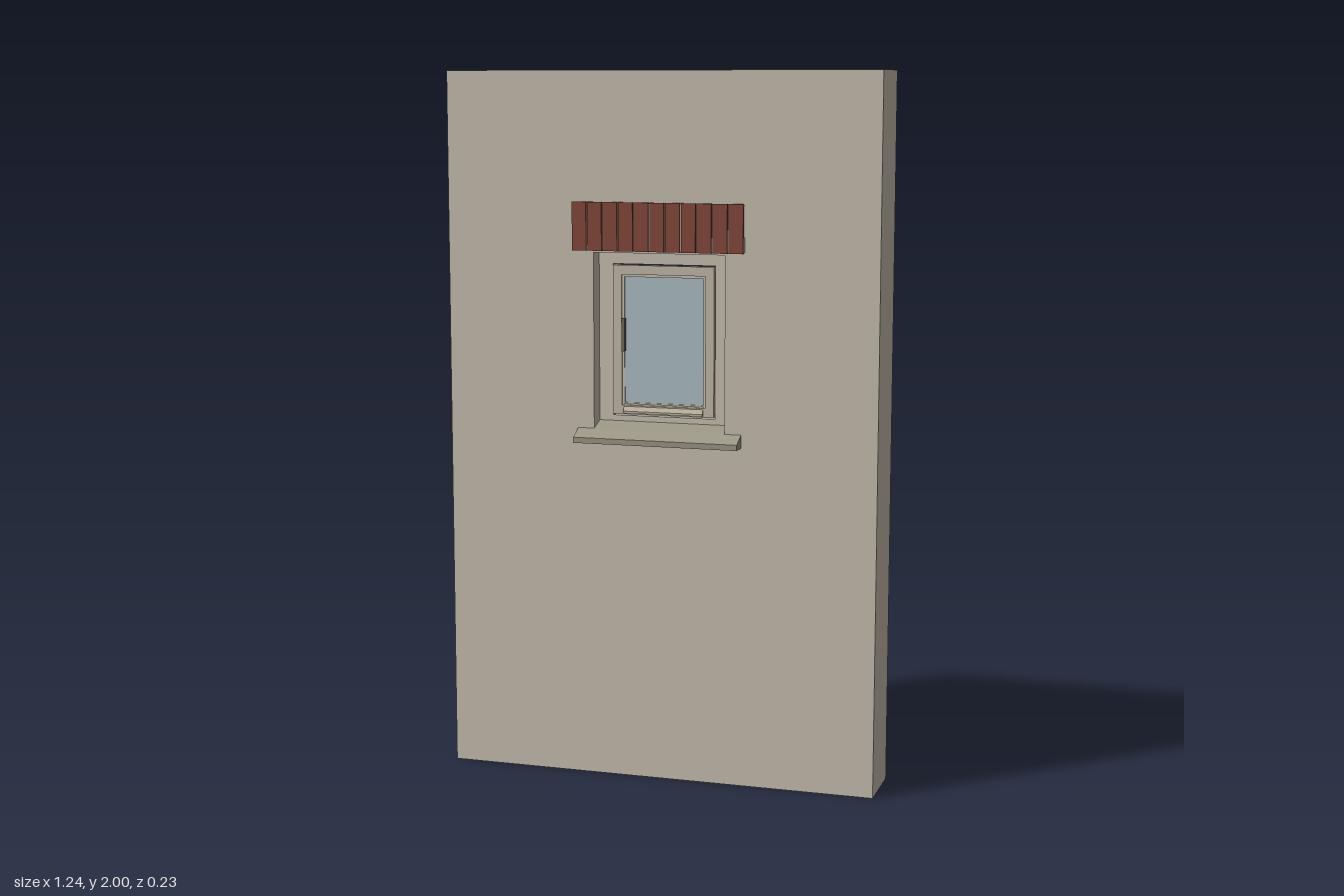
import * as THREE from 'three';

const mat = (name, color) => {
  const m = new THREE.MeshStandardMaterial({ color });
  m.name = name;
  return m;
};

// Rectangular ring with a rectangular hole, extruded from z0 to z1.
// Rectangles are [halfWidth, bottom, top].
function ring(name, outer, inner, z0, z1, material) {
  const corners = ([w, b, t]) => [[-w, b], [w, b], [w, t], [-w, t]].map(([x, y]) => new THREE.Vector2(x, y));
  const shape = new THREE.Shape(corners(outer));
  shape.holes.push(new THREE.Path(corners(inner).reverse()));
  const geo = new THREE.ExtrudeGeometry(shape, { depth: z1 - z0, bevelEnabled: false });
  geo.translate(0, 0, z0);
  const mesh = new THREE.Mesh(geo, material);
  mesh.name = name;
  return mesh;
}

// Box given by its limits on each axis.
function box(name, [x0, x1], [y0, y1], [z0, z1], material) {
  const mesh = new THREE.Mesh(new THREE.BoxGeometry(x1 - x0, y1 - y0, z1 - z0), material);
  mesh.position.set((x0 + x1) / 2, (y0 + y1) / 2, (z0 + z1) / 2);
  mesh.name = name;
  return mesh;
}

// Profile of [z, y] points swept along x, centred on x = 0.
function sweep(name, points, width, material) {
  const shape = new THREE.Shape(points.map(([z, y]) => new THREE.Vector2(-z, y)));
  const geo = new THREE.ExtrudeGeometry(shape, { depth: width, bevelEnabled: false });
  geo.translate(0, 0, -width / 2);
  geo.rotateY(Math.PI / 2);
  const mesh = new THREE.Mesh(geo, material);
  mesh.name = name;
  return mesh;
}

export function createModel() {
  const wallMat = mat('plaster', 0xc8c1b0);
  const frameMat = mat('frame paint', 0xcbc2b3);
  const sashMat = mat('sash paint', 0xc6baac);
  const barMat = mat('weather bar', 0xbbb39c);
  const glassMat = mat('glass', 0xafc1ca);
  const brickMat = mat('red brick', 0x87483b);
  const mortarMat = mat('mortar', 0xcfc8bb);
  const sillMat = mat('sill stone', 0x9c9886);
  const handleMat = mat('handle metal', 0x6e695e);

  const model = new THREE.Group();
  model.name = 'wallWithWindow';

  // Wall with the window opening
  model.add(ring('wall', [0.622, 0, 2], [0.19, 1, 1.5], -0.115, 0.07, wallMat));

  // Window: fixed frame, sash, glazing bead, glass, weather bar and handle
  const win = new THREE.Group();
  win.name = 'window';
  win.add(
    ring('fixedFrame', [0.19, 1, 1.5], [0.149, 1.038, 1.466], -0.05, 0.02, frameMat),
    ring('sash', [0.147, 1.042, 1.463], [0.122, 1.068, 1.437], 0.005, 0.027, sashMat),
    ring('glazingBead', [0.122, 1.068, 1.437], [0.115, 1.075, 1.43], 0.008, 0.022, frameMat),
    box('glass', [-0.117, 0.117], [1.073, 1.432], [0.012, 0.018], glassMat),
    sweep('weatherBar', [[0.02, 1.046], [0.036, 1.046], [0.036, 1.052], [0.02, 1.074]], 0.232, barMat),
    box('handle', [-0.119, -0.109], [1.222, 1.315], [0.027, 0.04], handleMat)
  );
  model.add(win);

  // Sill: projecting slab, and its sloped part running in to the frame
  model.add(
    sweep('sill', [[0.07, 0.968], [0.115, 0.968], [0.115, 0.984], [0.07, 1.005]], 0.475, sillMat),
    sweep('sillInner', [[0.02, 1], [0.07, 1], [0.07, 1.005], [0.02, 1.022]], 0.38, sillMat)
  );

  // Course of upright bricks over the window, on a thin mortar bed
  const course = new THREE.Group();
  course.name = 'brickCourse';
  course.add(box('mortarBed', [-0.248, 0.246], [1.508, 1.636], [0.068, 0.073], mortarMat));
  const count = 11, left = -0.25, pitch = 0.0452;
  for (let i = 0; i < count; i++) {
    const x = left + i * pitch;
    course.add(box('brick', [x, x + pitch - 0.004], [1.505, 1.64], [0.068, 0.079], brickMat));
  }
  model.add(course);

  return model;
}
